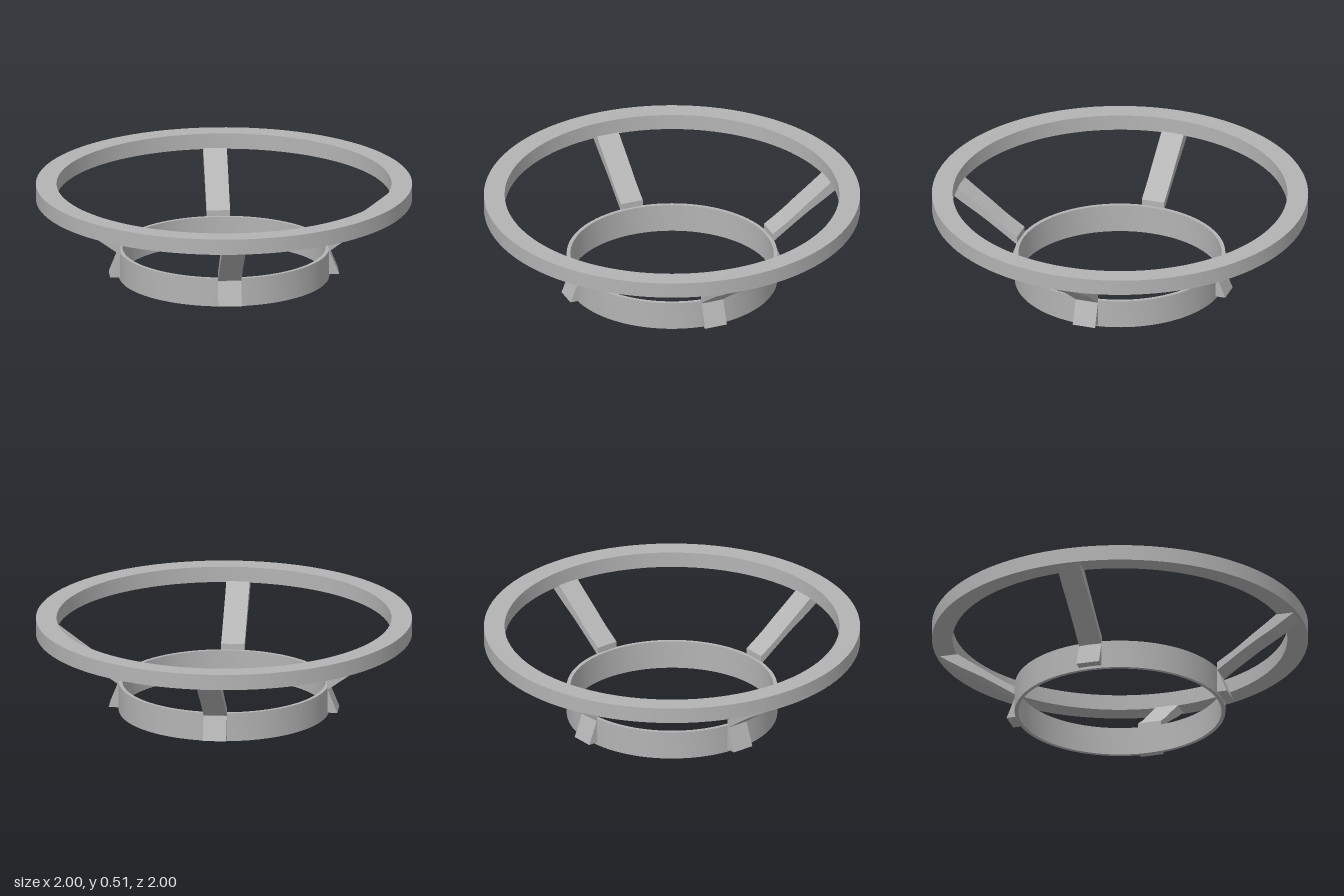
import * as THREE from 'three';
import { toCreasedNormals } from 'three/addons/utils/BufferGeometryUtils.js';

const v2 = (x, y) => new THREE.Vector2(x, y);

// Rectangular-section ring, smooth around and sharp at its rims
function ringGeometry(inner, outer, y0, y1) {
  const profile = [v2(inner, y0), v2(outer, y0), v2(outer, y1), v2(inner, y1), v2(inner, y0)];
  return toCreasedNormals(new THREE.LatheGeometry(profile, 96), 0.6);
}

// Side profile (radius, height) extruded to the arm width and centred
function barGeometry(shape, width) {
  const geometry = new THREE.ExtrudeGeometry(shape, { depth: width, bevelEnabled: false, curveSegments: 6 });
  geometry.translate(0, 0, -width / 2);
  return toCreasedNormals(geometry, 0.5);
}

export function createModel() {
  const model = new THREE.Group();
  model.name = 'ringStand';
  const grey = new THREE.MeshStandardMaterial({ color: 0xb4b4b4 });
  grey.name = 'grey';

  const add = (parent, name, geometry) => {
    const mesh = new THREE.Mesh(geometry, grey);
    mesh.name = name;
    parent.add(mesh);
  };

  add(model, 'upperRing', ringGeometry(0.89, 1, 0.425, 0.51));
  add(model, 'lowerRing', ringGeometry(0.54, 0.56, 0, 0.155));

  // Gently curved strut, thicker towards the upper ring
  const arm = new THREE.Shape();
  arm.moveTo(0.555, 0.14);
  arm.splineThru([v2(0.66, 0.215), v2(0.765, 0.286), v2(0.87, 0.35), v2(0.988, 0.43)]);
  arm.lineTo(0.889, 0.43);
  arm.splineThru([v2(0.8, 0.363), v2(0.735, 0.315), v2(0.65, 0.25), v2(0.555, 0.187)]);
  arm.closePath();
  const armGeometry = barGeometry(arm, 0.125);

  // Wedge bracing the arm against the lower ring
  const wedge = new THREE.Shape([v2(0.55, 0.015), v2(0.61, 0.015), v2(0.56, 0.14), v2(0.55, 0.14)]);
  const wedgeGeometry = barGeometry(wedge, 0.125);

  for (let i = 0; i < 4; i++) {
    const support = new THREE.Group();
    support.name = 'support' + (i + 1);
    support.rotation.y = i * Math.PI / 2;
    add(support, 'arm', armGeometry);
    add(support, 'footWedge', wedgeGeometry);
    model.add(support);
  }
  return model;
}
